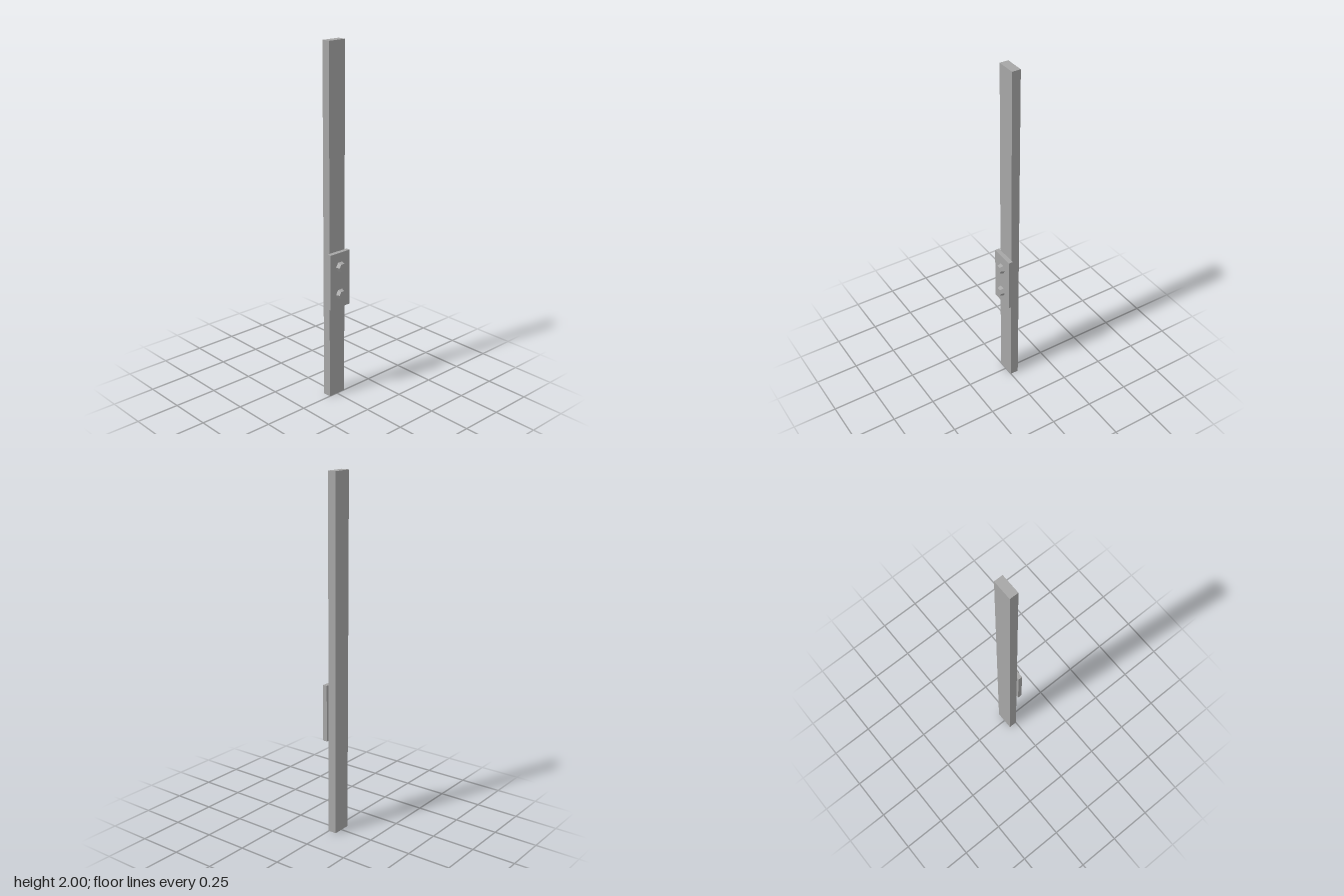
import * as THREE from 'three';

export function createModel() {
  const group = new THREE.Group();
  const gray = new THREE.MeshStandardMaterial({ color: 0xa6a6a6 });
  gray.name = 'gray';

  function add(name, geometry, x, y, z) {
    const mesh = new THREE.Mesh(geometry, gray);
    mesh.name = name;
    mesh.position.set(x, y, z);
    group.add(mesh);
  }

  // Long upright plank
  add('plank', new THREE.BoxGeometry(0.11, 2, 0.049), 0, 1, -0.0235);

  // Mounting plate across the front
  add('plate', new THREE.BoxGeometry(0.14, 0.32, 0.025), 0, 0.705, 0.0135);

  // Tapered hexagonal bolt heads, corners pointing sideways
  const bolt = new THREE.CylinderGeometry(0.022, 0.03, 0.021, 6).toNonIndexed();
  bolt.rotateY(Math.PI / 6);
  bolt.rotateX(Math.PI / 2);
  bolt.computeVertexNormals();
  add('upperBolt', bolt, 0, 0.785, 0.0365);
  add('lowerBolt', bolt, 0, 0.625, 0.0365);

  return group;
}
